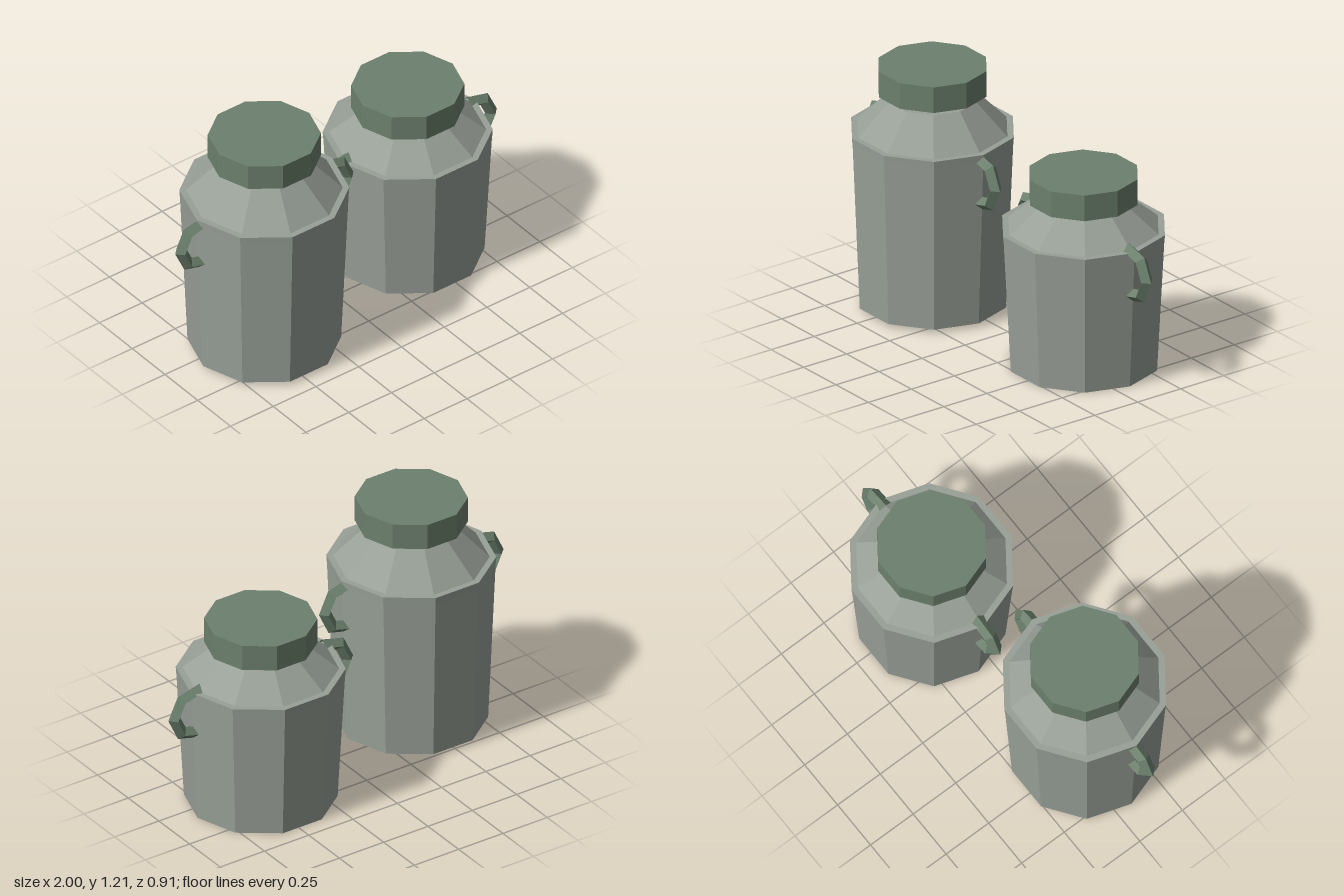
import * as THREE from 'three';

const metal = new THREE.MeshStandardMaterial({ color: 0x98a097, flatShading: true });
metal.name = 'grey metal';
const green = new THREE.MeshStandardMaterial({ color: 0x6c806d, flatShading: true, side: THREE.DoubleSide });
green.name = 'green paint';

// Ten-sided drum with corners on the x axis, spanning y0..y1
function drum(name, rTop, rBottom, y0, y1, material) {
  const geometry = new THREE.CylinderGeometry(rTop, rBottom, y1 - y0, 10, 1, false, Math.PI / 2);
  const mesh = new THREE.Mesh(geometry, material);
  mesh.position.y = (y0 + y1) / 2;
  mesh.name = name;
  return mesh;
}

// Four-sided loop curving outward on one side of the can
function handle(name, side, y) {
  const arc = Math.PI * 1.12;
  const geometry = new THREE.TorusGeometry(0.115, 0.033, 4, 4, arc);
  geometry.rotateZ(-arc / 2);
  if (side < 0) geometry.rotateY(Math.PI);
  const mesh = new THREE.Mesh(geometry, green);
  mesh.position.set(side * 0.373, y, 0);
  mesh.name = name;
  return mesh;
}

function milkCan(name, { base, rim, neck, lid, handleY }) {
  const can = new THREE.Group();
  can.name = name;
  can.add(
    drum('body', 0.392, 0.357, base, rim - 0.035, metal),
    drum('rim', 0.395, 0.393, rim - 0.035, rim, metal),
    drum('shoulder', 0.212, 0.364, rim, neck, metal),
    drum('lid', 0.263, 0.263, lid, lid + 0.13, green),
    handle('leftHandle', 1, handleY),
    handle('rightHandle', -1, handleY)
  );
  return can;
}

export function createModel() {
  const model = new THREE.Group();
  model.name = 'milkCans';
  const tall = milkCan('tallCan', { base: 0.02, rim: 0.89, neck: 1.046, lid: 1.08, handleY: 0.747 });
  tall.position.set(-0.479, 0, 0.078);
  const short = milkCan('shortCan', { base: 0, rim: 0.692, neck: 0.816, lid: 0.83, handleY: 0.58 });
  short.position.set(0.479, 0, -0.078);
  model.add(tall, short);
  return model;
}
